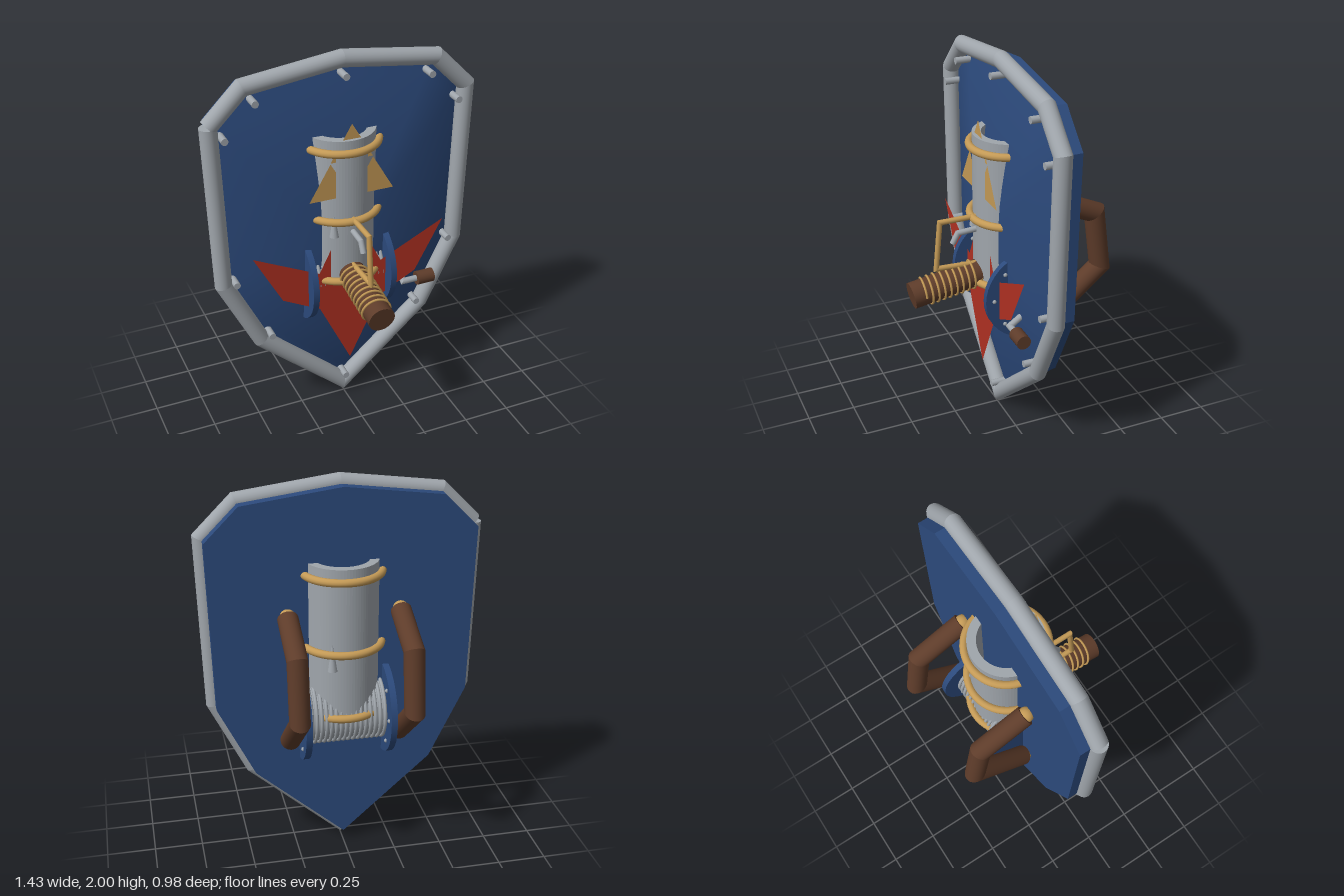
import * as THREE from 'three';

const V = (x, y, z) => new THREE.Vector3(x, y, z);
const mat = (name, color) => new THREE.MeshStandardMaterial({ name, color });

// Round bar along a planar polyline, with mitred bends and flat end caps
function bar(points, r, sides = 20) {
  const dirs = points.slice(1).map((p, i) => p.clone().sub(points[i]).normalize());
  const n = V(0, 0, 0);
  for (let i = 1; i < dirs.length && n.lengthSq() < 1e-6; i++) n.crossVectors(dirs[i - 1], dirs[i]);
  n.normalize();
  const pos = [], nor = [], idx = [];
  const add = (p, q) => { pos.push(p.x, p.y, p.z); nor.push(q.x, q.y, q.z); };
  dirs.forEach((d, s) => {
    const u = n.clone().cross(d), base = pos.length / 3;
    for (const e of [s, s + 1]) {
      const m = (dirs[e - 1] || d).clone().add(dirs[e] || d);
      for (let j = 0; j <= sides; j++) {
        const a = (j / sides) * Math.PI * 2;
        const o = u.clone().multiplyScalar(Math.cos(a)).addScaledVector(n, Math.sin(a));
        const p = points[e].clone().addScaledVector(o, r).addScaledVector(d, (-r * o.dot(m)) / d.dot(m));
        add(p, o);
      }
    }
    for (let j = 0; j < sides; j++) {
      const a = base + j, b = a + sides + 1;
      idx.push(a, a + 1, b + 1, a, b + 1, b);
    }
  });
  for (const end of [0, points.length - 1]) {
    const d = end ? dirs[dirs.length - 1] : dirs[0].clone().negate();
    const u = n.clone().cross(d), c = pos.length / 3;
    add(points[end], d);
    for (let j = 0; j <= sides; j++) {
      const a = (j / sides) * Math.PI * 2;
      add(points[end].clone().addScaledVector(u, r * Math.cos(a)).addScaledVector(n, r * Math.sin(a)), d);
      if (j) idx.push(c, c + j, c + j + 1);
    }
  }
  const g = new THREE.BufferGeometry();
  g.setAttribute('position', new THREE.Float32BufferAttribute(pos, 3));
  g.setAttribute('normal', new THREE.Float32BufferAttribute(nor, 3));
  g.setIndex(idx);
  return g;
}

// Front face that bulges from the outline towards its middle
function dome(outline, cy, zEdge, zTop, rings = 10) {
  const pos = [0, cy, zTop], idx = [], n = outline.length;
  for (let k = 1; k <= rings; k++) {
    const t = k / rings;
    for (const [x, y] of outline) pos.push(x * t, cy + (y - cy) * t, zTop + (zEdge - zTop) * t * t);
  }
  for (let j = 0; j < n; j++) {
    const j2 = (j + 1) % n;
    idx.push(0, 1 + j, 1 + j2);
    for (let k = 0; k < rings - 1; k++) {
      const a = 1 + k * n + j, b = 1 + k * n + j2;
      idx.push(a, a + n, b + n, a, b + n, b);
    }
  }
  const g = new THREE.BufferGeometry();
  g.setAttribute('position', new THREE.Float32BufferAttribute(pos, 3));
  g.setIndex(idx);
  g.computeVertexNormals();
  return g;
}

const polygon = pts => new THREE.Shape(pts.map(p => new THREE.Vector2(...p)));

export function createModel() {
  const model = new THREE.Group();
  const blue = mat('shieldBlue', 0x2c4a7c), steel = mat('steel', 0xa0a6ac);
  const gold = mat('brass', 0xc49a56), brown = mat('wood', 0x5e3c2a), red = mat('emblemRed', 0xb03022);
  red.side = gold.side = THREE.DoubleSide;
  const add = (name, geo, m, x = 0, y = 0, z = 0, parent = model) => {
    const mesh = new THREE.Mesh(geo, m);
    mesh.name = name;
    mesh.position.set(x, y, z);
    parent.add(mesh);
    return mesh;
  };

  // Shield board, bulging front and rim with a small open corner
  const half = [[0.46, 0.47], [0.645, 0.85], [0.67, 1.72], [0.5, 1.89]];
  const outline = [[0, 0.06], ...half, [0, 1.955], ...half.map(([x, y]) => [-x, y]).reverse()];
  add('shieldBoard', new THREE.ExtrudeGeometry(polygon(outline), { depth: 0.06, bevelEnabled: false }), blue, 0, 0, -0.12);
  add('shieldFront', dome(outline, 1, -0.06, 0.06), blue);
  const rim = [...outline.slice(8), ...outline.slice(0, 8), outline[8]];
  rim.splice(rim.length - 1, 1);
  const start = rim.findIndex(p => p[0] === -0.67);
  const loop = [...rim.slice(start), ...rim.slice(0, start + 1)];
  add('shieldRim', bar(loop.map(([x, y]) => V(x, y, -0.022)), 0.044), steel);

  // Rivets just inside the rim
  const rivetSide = [[0.455, 1.82], [0.61, 1.66], [0.59, 0.865], [0.415, 0.505]];
  for (const [x, y] of [[0, 1.88], [0, 0.125], ...rivetSide, ...rivetSide.map(([a, b]) => [-a, b])])
    add('rimRivet', new THREE.CylinderGeometry(0.018, 0.018, 0.09, 12), steel, x, y, -0.008).rotation.x = Math.PI / 2;

  // Winged emblem and three triangles
  const wing = [[0.17, 0.645], [0.37, 0.75], [0.52, 1.03], [0.17, 0.86], [0.09, 1.02]];
  const emblem = [[0, 0.29], ...wing, [0, 0.9], ...wing.map(([x, y]) => [-x, y]).reverse()];
  add('wingEmblem', new THREE.ShapeGeometry(polygon(emblem)), red, 0, 0, 0.086);
  for (const [x, y] of [[0, 1.48], [-0.112, 1.285], [0.112, 1.285]])
    add('emblemTriangle', new THREE.ShapeGeometry(polygon([[-0.112, 0], [0.112, 0], [0, 0.19]])), gold, x, y, 0.1);

  // Open barrel with brass bands
  const wall = [[0.14, 0.78], [0.185, 0.78], [0.185, 1.59], [0.14, 1.59], [0.14, 0.78]];
  const barrelGeo = new THREE.ExtrudeGeometry(
    (() => {
      const s = new THREE.Shape().absarc(0, 0, 0.185, 0, Math.PI * 2);
      s.holes.push(new THREE.Path().absarc(0, 0, 0.14, 0, Math.PI * 2, true));
      return s;
    })(), { depth: wall[2][1] - wall[0][1], bevelEnabled: false, curveSegments: 40 });
  add('barrel', barrelGeo, steel, 0, 1.59, -0.065).rotation.x = Math.PI / 2;
  for (const y of [1.53, 1.155, 0.81])
    add('barrelBand', new THREE.TorusGeometry(0.2, 0.02, 12, 48), gold, 0, y, -0.065).rotation.x = Math.PI / 2;
  for (const [x, z] of [[-0.09, 0.09], [0.08, -0.23]])
    add('barrelSpike', new THREE.ConeGeometry(0.025, 0.15, 12), steel, x, 1.14, z);

  // Cable reel between two discs
  const reel = new THREE.Group();
  reel.name = 'cableReel';
  reel.position.set(0, 0.785, -0.085);
  model.add(reel);
  add('reelCable', new THREE.CylinderGeometry(0.155, 0.155, 0.4, 32, 1, true), steel, 0, 0, 0, reel).rotation.z = Math.PI / 2;
  for (let i = 0; i < 16; i++)
    add('cableTurn', new THREE.TorusGeometry(0.163, 0.009, 8, 40), steel, -0.188 + i * 0.025, 0, 0, reel).rotation.y = Math.PI / 2;
  for (const x of [-0.215, 0.215]) {
    add('reelDisc', new THREE.CylinderGeometry(0.245, 0.245, 0.032, 40), blue, x, 0, 0, reel).rotation.z = Math.PI / 2;
    for (let i = 0; i < 8; i++) {
      const a = (i * Math.PI) / 4;
      add('discRivet', new THREE.SphereGeometry(0.011, 10, 8), steel, x + 0.016, 0.2 * Math.sin(a), 0.2 * Math.cos(a), reel);
    }
  }
  add('reelHub', new THREE.CylinderGeometry(0.035, 0.035, 0.03, 20), gold, 0.24, 0, 0, reel).rotation.z = Math.PI / 2;

  // Crank with wooden knob
  add('crankArm', bar([V(0.23, 0.785, -0.085), V(0.315, 0.785, -0.085), V(0.315, 0.68, 0.067), V(0.41, 0.68, 0.067)], 0.017, 12), steel);
  add('crankKnob', new THREE.CylinderGeometry(0.037, 0.037, 0.095, 20), brown, 0.438, 0.68, 0.067).rotation.z = Math.PI / 2;

  // Front grip wound with wire
  const grip = new THREE.Group();
  grip.name = 'frontGrip';
  grip.position.set(0, 0.815, 0.255);
  grip.rotation.x = Math.PI / 2 + 0.165;
  model.add(grip);
  add('gripWood', new THREE.CylinderGeometry(0.069, 0.069, 0.44, 28), brown, 0, 0, 0, grip);
  const helix = [];
  for (let i = 0; i <= 144; i++) {
    const a = (i / 16) * Math.PI * 2;
    helix.push(V(0.073 * Math.cos(a), -0.14 + (0.3 * i) / 144, 0.073 * Math.sin(a)));
  }
  add('gripWire', new THREE.TubeGeometry(new THREE.CatmullRomCurve3(helix), 288, 0.006, 6), gold, 0, 0, 0, grip);

  // Trigger and its guard
  add('triggerGuard', bar([V(0, 1.16, 0.12), V(0, 1.16, 0.31), V(0, 0.905, 0.335), V(0, 0.895, 0.12)], 0.014, 12), gold);
  add('trigger', bar([V(0, 1.09, 0.1), V(0, 1.083, 0.215), V(0, 1.03, 0.245)], 0.015, 12), steel);

  // Pair of carrying handles on the back
  for (const x of [-0.283, 0.283]) {
    add('backHandle', bar([V(x, 1.325, -0.145), V(x, 1.21, -0.4), V(x, 0.905, -0.442), V(x, 0.665, -0.155)], 0.052, 24), brown);
    for (const [y, z] of [[1.33, -0.14], [0.66, -0.15]])
      add('handleMount', new THREE.SphereGeometry(0.04, 16, 12), gold, x, y, z);
  }
  return model;
}
